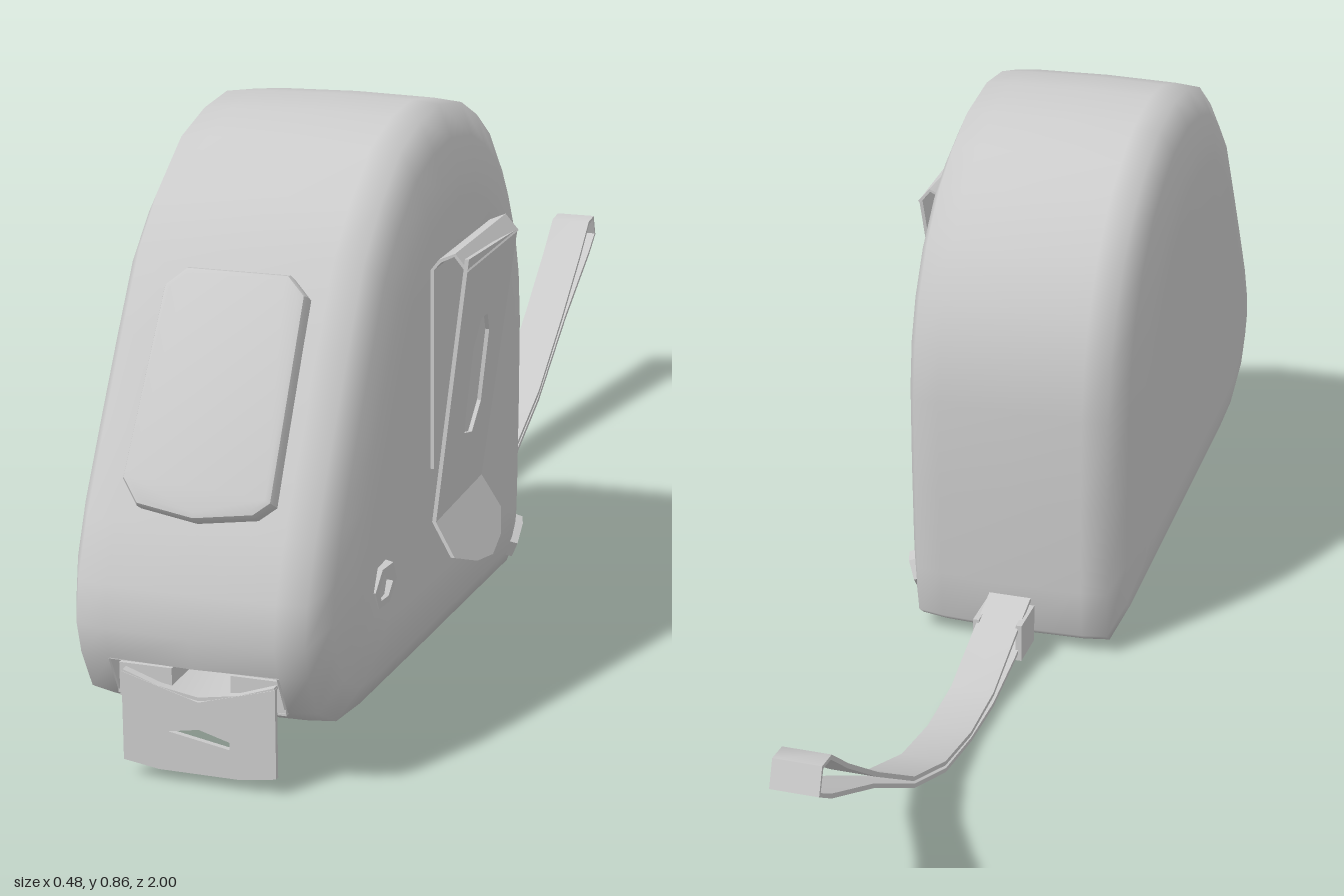
import * as THREE from 'three';
import { toCreasedNormals } from 'three/addons/utils/BufferGeometryUtils.js';

const CX = -0.033; // centre plane of the case
const grey = new THREE.MeshStandardMaterial({ color: 0xcccccc });
const thin = new THREE.MeshStandardMaterial({ color: 0xcccccc, side: THREE.DoubleSide });

const vecs = (pts) => pts.map(([x, y]) => new THREE.Vector2(x, y));

function add(parent, name, geometry, material = grey) {
  const mesh = new THREE.Mesh(geometry, material);
  mesh.name = name;
  parent.add(mesh);
  return mesh;
}

// Extrusion of an outline, optionally with one hole
function slab(outline, depth, hole, options = {}) {
  const shape = new THREE.Shape(vecs(outline));
  if (hole) shape.holes.push(new THREE.Path(vecs(hole)));
  const geo = new THREE.ExtrudeGeometry(shape, { depth, bevelEnabled: false, ...options });
  return toCreasedNormals(geo, 0.6);
}

// Band of constant thickness following a polyline
function ribbon(points, thickness, width) {
  const p = vecs(points);
  const offset = p.map((v, i) => {
    const t = p[Math.min(i + 1, p.length - 1)].clone().sub(p[Math.max(i - 1, 0)]).normalize();
    return [v.x - t.y * thickness, v.y + t.x * thickness];
  });
  return slab([...points, ...offset.reverse()], width);
}

// Case side profile as [z, y]; the tape mouth lies between two of its points
const profile = [
  [0.04, 0.018], [0.018, 0.035], [0.01, 0.12], [0.003, 0.28], [0, 0.44], [0.01, 0.53], [0.035, 0.61],
  [0.08, 0.69], [0.15, 0.765], [0.22, 0.81], [0.3, 0.845], [0.41, 0.863], [0.5, 0.855], [0.59, 0.83],
  [0.68, 0.77], [0.75, 0.705], [0.82, 0.595], [0.89, 0.48], [0.955, 0.37], [0.99, 0.29], [1, 0.23],
  [0.988, 0.183], [0.955, 0.12], [0.88, 0.078], [0.78, 0.064], [0.5, 0.046], [0.25, 0.031]];
const MOUTH = profile.findIndex(([z, y]) => z === 0.988 && y === 0.183);

// Half of the cross stations: [x offset, z scale, y scale]
const half = [[0.205, 0.7, 0.66], [0.2, 0.79, 0.76], [0.187, 0.89, 0.88], [0.165, 0.99, 0.985], [0.122, 0.996, 0.994]];

function caseGeometry() {
  const stations = [...half.map(([x, a, b]) => [-x, a, b]), [0, 1, 1], ...[...half].reverse()];
  const n = profile.length, pos = [], index = [];
  for (const [x, sz, sy] of stations)
    for (const [z, y] of profile) pos.push(CX + x, 0.43 + (y - 0.43) * sy, 0.5 + (z - 0.5) * sz);
  for (let i = 0; i < stations.length - 1; i++)
    for (let j = 0; j < n; j++) {
      if (j === MOUTH && (i === 4 || i === 5)) continue; // mouth opening
      const a = i * n + j, b = i * n + (j + 1) % n;
      index.push(a, b, a + n, b, b + n, a + n);
    }
  // flat side panels
  const last = (stations.length - 1) * n, c = pos.length / 3;
  pos.push(CX - 0.205, 0.43, 0.5, CX + 0.205, 0.43, 0.5);
  for (let j = 0; j < n; j++) {
    const k = (j + 1) % n;
    index.push(c, k, j, c + 1, last + j, last + k);
  }
  const geo = new THREE.BufferGeometry();
  geo.setAttribute('position', new THREE.Float32BufferAttribute(pos, 3));
  geo.setIndex(index);
  geo.computeVertexNormals();
  return geo;
}

// Turn a drawing made in (-z, y) so that its depth runs along +x from x0
const toSide = (geo, x0) => geo.rotateY(Math.PI / 2).translate(x0, 0, 0);

// Flat plate drawn in (-z, y), leaning so x runs from x0 at y0 to x1 at y1
function leaningPlate(outline, hole, [x0, y0], [x1, y1]) {
  const geo = toSide(slab(outline, 0.006, hole), 0);
  const p = geo.attributes.position;
  for (let i = 0; i < p.count; i++)
    p.setX(i, p.getX(i) + x0 + (x1 - x0) * (p.getY(i) - y0) / (y1 - y0));
  geo.computeVertexNormals();
  return geo;
}

function buildMouth() {
  const g = new THREE.Group();
  g.name = 'tapeMouth';
  const section = [[-0.986, 0.183], [-0.84, 0.183], [-0.84, 0.12], [-0.954, 0.12]];
  add(g, 'mouthLining', toSide(ribbon(section, 0.003, 0.244), CX - 0.122), thin);
  for (const s of [-1, 1]) {
    add(g, 'mouthSide', toSide(slab(section, 0.003), CX + s * 0.122 - 0.0015), thin);
    add(g, 'mouthGuide', new THREE.BoxGeometry(0.08, 0.045, 0.06)).position.set(CX + s * 0.083, 0.145, 0.928);
  }
  // cupped tape blade and its end hook
  const cup = [[-0.112, 0.158], [-0.06, 0.14], [0, 0.13], [0.06, 0.14], [0.112, 0.158]];
  add(g, 'tapeBlade', ribbon(cup, 0.005, 0.12).translate(CX, 0, 0.85), thin);
  const hook = [[-0.112, 0.03], [-0.06, 0.022], [0.06, 0.022], [0.112, 0.03], [0.112, 0.16], [0, 0.128], [-0.112, 0.16]];
  const slot = [[-0.045, 0.08], [0, 0.088], [0.045, 0.075], [0.045, 0.064]];
  add(g, 'endHook', slab(hook, 0.008, slot).translate(CX, 0, 0.963));
  return g;
}

function buildClip() {
  const g = new THREE.Group();
  g.name = 'beltClip';
  // inner leaf and top bend
  const bend = [[0.18, 0.36], [0.18, 0.655], [0.19, 0.667], [0.21, 0.677], [0.228, 0.655]];
  add(g, 'clipBackLeaf', ribbon(bend, 0.005, 0.25).translate(0, 0, 0.335), thin);
  // outer leaf with slot, then the flared lip
  const leaf = [[-0.6, 0.285], [-0.375, 0.285], [-0.335, 0.66], [-0.585, 0.675]];
  const slot = [[-0.5, 0.39], [-0.46, 0.38], [-0.43, 0.42], [-0.43, 0.53], [-0.45, 0.56], [-0.48, 0.56], [-0.505, 0.52], [-0.505, 0.42]];
  add(g, 'clipFrontLeaf', leaningPlate(leaf, slot, [0.182, 0.285], [0.224, 0.66]), thin);
  const lip = [[-0.6, 0.285], [-0.604, 0.235], [-0.54, 0.21], [-0.48, 0.2], [-0.42, 0.21], [-0.37, 0.235], [-0.375, 0.285]];
  add(g, 'clipLip', leaningPlate(lip, null, [0.182, 0.285], [0.232, 0.2]), thin);
  const screw = add(g, 'clipScrew', new THREE.CylinderGeometry(0.03, 0.033, 0.03, 8).rotateZ(-Math.PI / 2));
  screw.position.set(0.176, 0.44, 0.468);
  return g;
}

function buildStrap() {
  const g = new THREE.Group();
  g.name = 'wristStrap';
  // upper run, end loop and lower run, drawn as [-z, y]
  const path = [
    [-0.01, 0.1], [0.08, 0.075], [0.2, 0.035], [0.32, 0.03], [0.45, 0.052], [0.6, 0.113], [0.76, 0.215],
    [0.88, 0.3], [0.945, 0.352], [0.982, 0.355], [0.997, 0.315], [0.95, 0.285], [0.78, 0.2], [0.6, 0.093],
    [0.45, 0.032], [0.32, 0.012], [0.2, 0.009], [0.08, 0.028], [0.03, 0.04]];
  add(g, 'strapBand', toSide(ribbon(path, -0.007, 0.072), CX - 0.036), thin);
  // anchor bracket on the case
  for (const s of [-1, 1])
    add(g, 'strapAnchorArm', new THREE.BoxGeometry(0.01, 0.065, 0.075)).position.set(CX + s * 0.037, 0.053, -0.025);
  add(g, 'strapAnchorBase', new THREE.BoxGeometry(0.084, 0.01, 0.075)).position.set(CX, 0.025, -0.025);
  return g;
}

export function createModel() {
  const model = new THREE.Group();
  model.name = 'tapeMeasure';
  add(model, 'case', caseGeometry());
  model.add(buildMouth(), buildClip(), buildStrap());

  // lock button on the sloping front
  const outline = [[-0.112, -0.13], [-0.085, -0.165], [0, -0.178], [0.085, -0.165], [0.108, -0.145],
    [0.104, 0.145], [0.075, 0.173], [-0.075, 0.173], [-0.104, 0.145]];
  const bevel = { bevelEnabled: true, bevelSize: 0.01, bevelOffset: -0.01, bevelThickness: 0.009, bevelSegments: 2 };
  const button = add(model, 'lockButton', slab(outline, 0.03, null, bevel));
  button.position.set(CX - 0.003, 0.53, 0.858);
  button.rotation.x = -0.545;
  button.translateZ(-0.014);

  // rounded foot under the case
  const foot = add(model, 'foot', new THREE.SphereGeometry(1, 20, 12));
  foot.scale.set(0.13, 0.04, 0.088);
  foot.position.set(CX, 0.045, 0.685);

  // hollow case screws on the clip side
  const ring = new THREE.LatheGeometry(
    vecs([[0, 0.004], [0.02, 0.004], [0.022, 0.014], [0.034, 0.014], [0.036, -0.02]]), 6);
  const screwGeo = toCreasedNormals(ring, 0.4).rotateZ(-Math.PI / 2);
  for (const [x, y, z, tiltY, tiltZ] of [[0.165, 0.26, 0.795, -0.12, -0.1], [0.147, 0.085, 0.085, 0.3, -0.3]]) {
    const screw = add(model, 'caseScrew', screwGeo, thin);
    screw.position.set(x, y, z);
    screw.rotation.set(0, tiltY, tiltZ);
  }
  return model;
}
